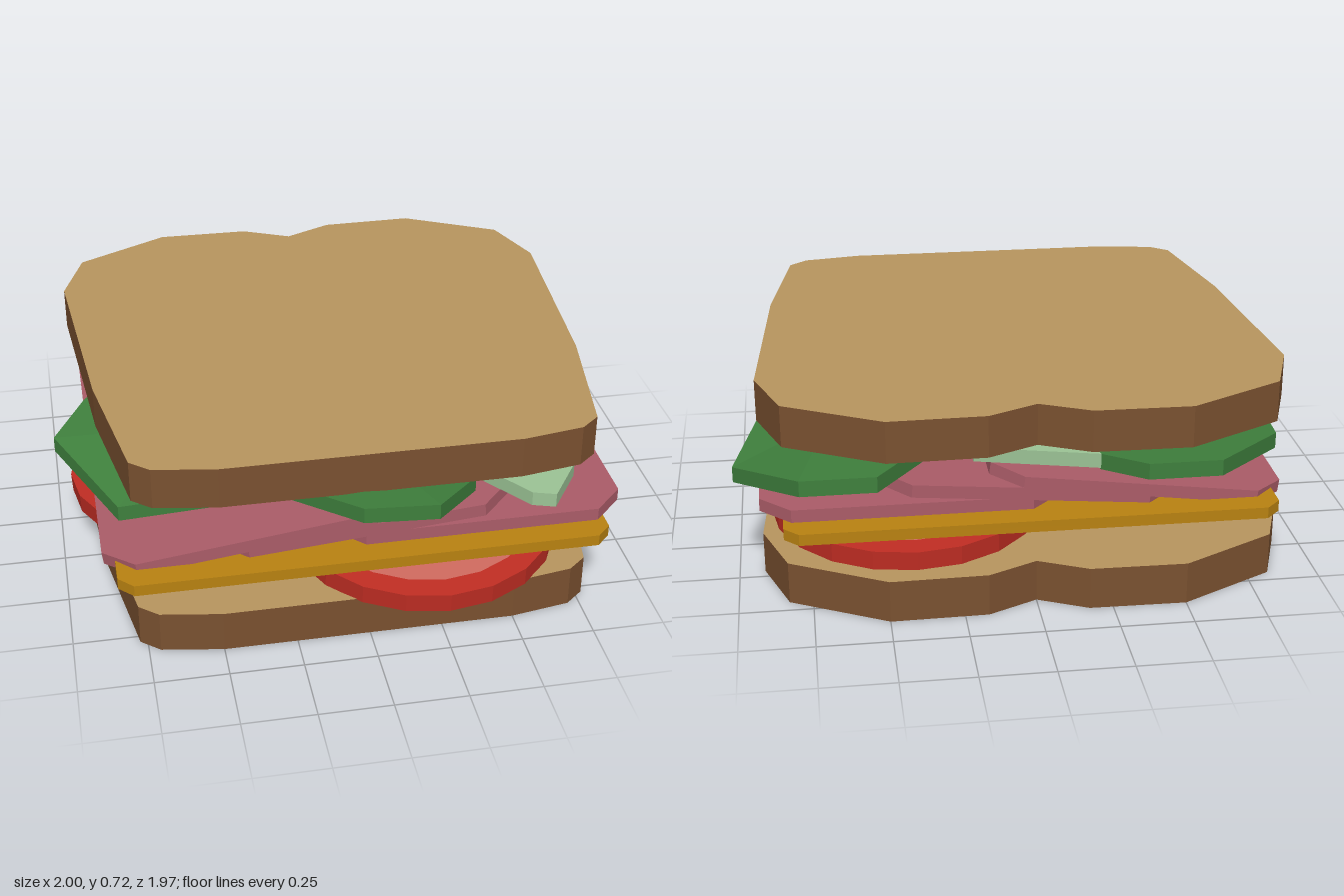
import * as THREE from 'three';

const mat = (name, color) => Object.assign(new THREE.MeshStandardMaterial({ color }), { name });

export function createModel() {
  const crust = mat('crust', 0x7a5130);
  const crumb = mat('crumb', 0xb8965f);
  const cheese = mat('cheese', 0xb98211);
  const ham = mat('ham', 0xab5c68);
  const tomato = mat('tomato skin', 0xc02d23);
  const flesh = mat('tomato flesh', 0xcf6a5e);
  const leafGreen = mat('lettuce', 0x3f803d);
  const stemGreen = mat('lettuce stem', 0x9cc496);
  const group = new THREE.Group();

  const add = (name, geometry, material, parent = group) => {
    const mesh = new THREE.Mesh(geometry, material);
    mesh.name = name;
    parent.add(mesh);
    return mesh;
  };

  // Horizontal plate from an outline of [x, z] points, centred on y = 0
  const plate = (outline, thickness) => {
    const shape = new THREE.Shape(outline.map(([x, z]) => new THREE.Vector2(x, -z)));
    const g = new THREE.ExtrudeGeometry(shape, { depth: thickness, bevelEnabled: false });
    return g.translate(0, 0, -thickness / 2).rotateX(-Math.PI / 2);
  };

  // Rectangle with cut corners
  const cutRect = (w, d, c) => {
    const a = w / 2, b = d / 2;
    return [[-a, b - c], [-a + c, b], [a - c, b], [a, b - c],
      [a, -b + c], [a - c, -b], [-a + c, -b], [-a, -b + c]];
  };

  // Bread slices: crumb on the faces, crust around the edge
  const half = [[0.17, -0.865], [0.5, -0.87], [0.83, -0.695], [0.912, -0.46],
    [0.855, 0.3], [0.775, 0.78], [0.71, 0.835], [0.5, 0.87]];
  const breadOutline = [[0, -0.785], ...half, ...half.map(([x, z]) => [-x, z]).reverse()];
  add('bottomBread', plate(breadOutline, 0.148), [crumb, crust]).position.y = 0.074;
  add('topBread', plate(breadOutline, 0.145), [crumb, crust]).position.y = 0.6475;

  // Tomato slices: [x, y, z, tilt about x, tilt about z]
  const tomatoes = [
    [-0.47, 0.205, 0.03, 0, 0.05],
    [0.25, 0.205, 0.5, 0.07, 0],
    [0.4, 0.205, -0.32, -0.05, 0],
  ];
  for (const [x, y, z, rx, rz] of tomatoes) {
    const slice = new THREE.Group();
    slice.name = 'tomatoSlice';
    slice.position.set(x, y, z);
    slice.rotation.set(rx, 0, rz);
    group.add(slice);
    const skin = new THREE.CylinderGeometry(0.48, 0.48, 0.068, 20).toNonIndexed();
    skin.computeVertexNormals();
    add('tomatoSkin', skin, tomato, slice);
    for (const side of [1, -1]) {
      const disc = add('tomatoFlesh', new THREE.CircleGeometry(0.4, 20), flesh, slice);
      disc.rotation.x = -side * Math.PI / 2;
      disc.position.y = side * 0.036;
      for (let i = 0; i < 6; i++) {
        const a = (i / 6) * Math.PI * 2;
        const pocket = add('seedPocket', new THREE.CircleGeometry(0.075, 8), tomato, slice);
        pocket.rotation.x = -side * Math.PI / 2;
        pocket.position.set(Math.cos(a) * 0.23, side * 0.038, Math.sin(a) * 0.23);
      }
    }
  }

  // Cheese slice
  add('cheeseSlice', plate(cutRect(1.675, 1.675, 0.05), 0.04), cheese).position.set(0, 0.285, 0.037);

  // Overlapping ham slices: [x, y, tilt]
  for (const [x, y, tilt] of [[-0.37, 0.355, 0.125], [0.005, 0.363, 0.085], [0.405, 0.33, 0]]) {
    const slice = add('hamSlice', plate(cutRect(1.02, 1.5, 0.105), 0.045), ham);
    slice.position.set(x, y, 0.037);
    slice.rotation.z = tilt;
  }

  // Bent slab: outline of [x, top y, z] points fanned around their centre
  const bentSlab = (points, t) => {
    let area = 0;
    points.forEach(([x, , z], i) => {
      const [x2, , z2] = points[(i + 1) % points.length];
      area += x * z2 - x2 * z;
    });
    const loop = area > 0 ? [...points].reverse() : points;
    const n = loop.length;
    const mid = [0, 1, 2].map((k) => loop.reduce((s, p) => s + p[k], 0) / n);
    const low = ([x, y, z]) => [x, y - t, z];
    const v = [];
    loop.forEach((a, i) => {
      const b = loop[(i + 1) % n];
      v.push(mid, a, b, low(mid), low(b), low(a));
      v.push(a, low(a), low(b), a, low(b), b);
    });
    const g = new THREE.BufferGeometry();
    g.setAttribute('position', new THREE.Float32BufferAttribute(v.flat(), 3));
    g.computeVertexNormals();
    return g;
  };

  // Lettuce leaves
  const leaves = {
    backLeaf: [[-0.85, 0.51, -0.5], [-0.83, 0.53, -0.69], [-0.57, 0.58, -0.99], [-0.33, 0.58, -0.99],
      [-0.2, 0.56, -0.85], [-0.1, 0.55, -0.4], [-0.6, 0.54, 0.04]],
    rightLeaf: [[0.53, 0.535, -0.88], [0.78, 0.525, -0.86], [1, 0.442, -0.54], [0.87, 0.48, 0],
      [0.75, 0.52, 0.32], [0.4, 0.53, 0.32], [0.3, 0.55, -0.6]],
    leftLeaf: [[-1, 0.495, 0.22], [-0.81, 0.42, 0.58], [0.1, 0.48, 0.6], [0.1, 0.5, 0.2],
      [-0.63, 0.53, -0.3], [-0.88, 0.51, 0]],
    frontLeaf: [[-0.3, 0.545, 0.7], [-0.05, 0.588, 0.98], [0.2, 0.573, 0.98], [0.38, 0.51, 0.75],
      [0.3, 0.52, 0.2], [0.05, 0.56, 0.05], [-0.3, 0.56, 0]],
  };
  const stems = {
    rightLeafStem: [[0.75, 0.52, 0.32], [0.74, 0.49, 0.7], [0.62, 0.5, 0.885], [0.54, 0.51, 0.875],
      [0.4, 0.52, 0.7], [0.4, 0.53, 0.32]],
    leftLeafStem: [[0.1, 0.48, 0.6], [0.62, 0.49, 0.55], [0.62, 0.5, 0.25], [0.1, 0.5, 0.2]],
    frontLeafStem: [[-0.3, 0.56, 0], [0.05, 0.56, 0.05], [-0.32, 0.57, -0.75], [-0.58, 0.57, -0.7]],
    backLeafStem: [[-0.1, 0.55, -0.4], [-0.2, 0.56, -0.85], [0.2, 0.53, -0.68], [0.2, 0.53, -0.45]],
  };
  for (const [name, pts] of Object.entries(leaves)) add(name, bentSlab(pts, 0.055), leafGreen);
  for (const [name, pts] of Object.entries(stems)) add(name, bentSlab(pts, 0.05), stemGreen);

  return group;
}
